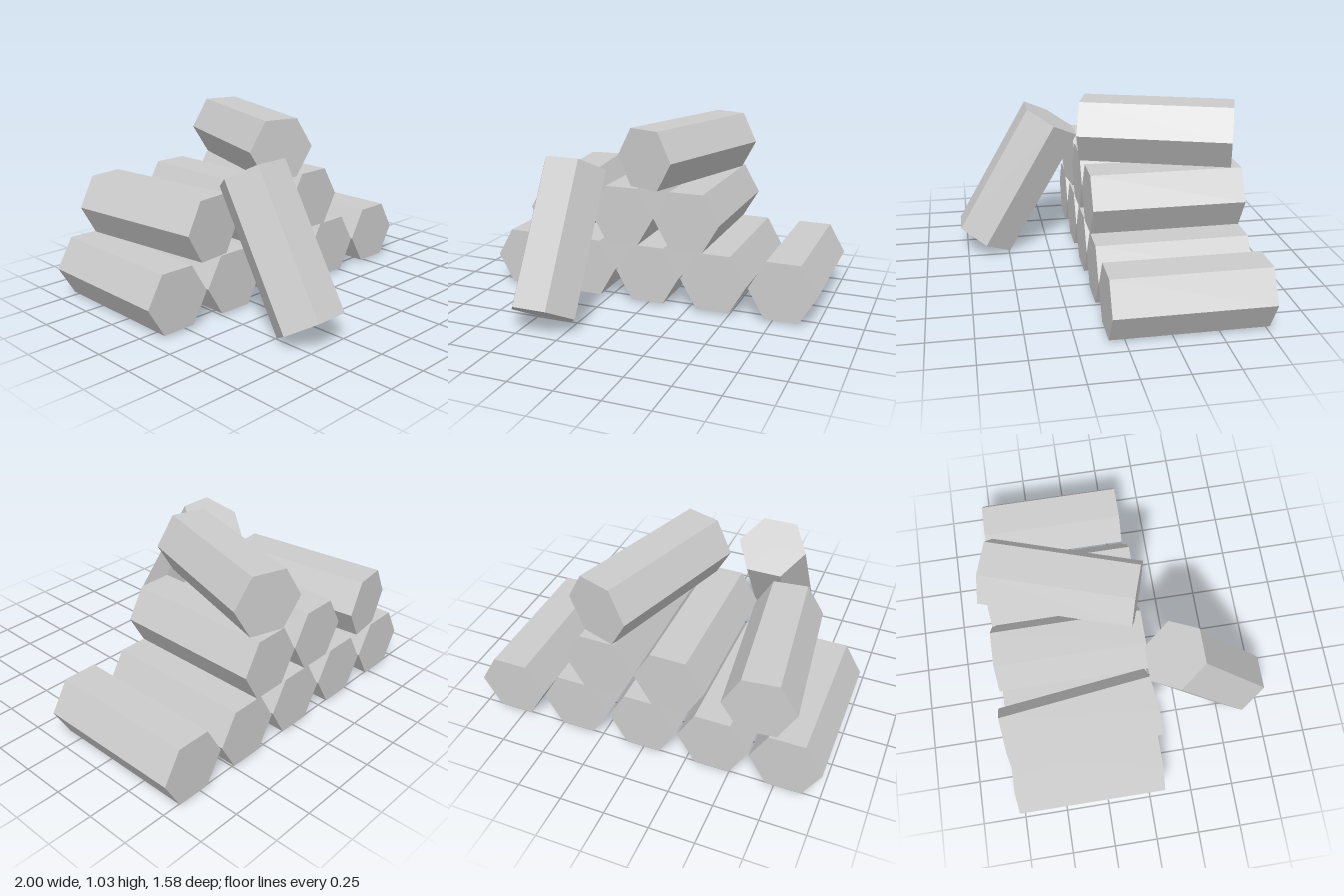
import * as THREE from 'three';

const R = 0.196; // corner radius of a hexagonal log
const LENGTH = 0.85;

export function createModel() {
  const model = new THREE.Group();
  model.name = 'logPile';
  const material = new THREE.MeshStandardMaterial({ color: 0xcccccc, flatShading: true });

  // Hexagonal log along z, flat side up, corners at +x and -x
  const geometry = new THREE.CylinderGeometry(R, R, LENGTH, 6);
  geometry.rotateY(Math.PI / 6);
  geometry.rotateX(Math.PI / 2);

  function addLog(name, x, y, z, pitch = 0, yaw = 0) {
    const log = new THREE.Mesh(geometry, material);
    log.name = name;
    log.position.set(x, y, z);
    log.rotation.set(pitch, yaw, 0);
    model.add(log);
  }

  // Bottom row of five
  for (let i = 0; i < 5; i++) addLog(`bottomLog${i + 1}`, (i - 2) * 0.402, 0.185, -0.34);

  // Middle row, the outermost one slightly askew
  addLog('middleLogAskew', -0.597, 0.525, -0.338, 0, 0.118);
  addLog('middleLogCentre', -0.16, 0.525, -0.34);
  addLog('middleLogLeft', 0.236, 0.525, -0.34);

  // Single log across the top
  addLog('topLog', 0.108, 0.866, -0.33, 0, -0.318);

  // Log leaning against the front of the pile
  addLog('leaningLog', -0.389, 0.456, 0.428, Math.PI / 3);

  return model;
}
